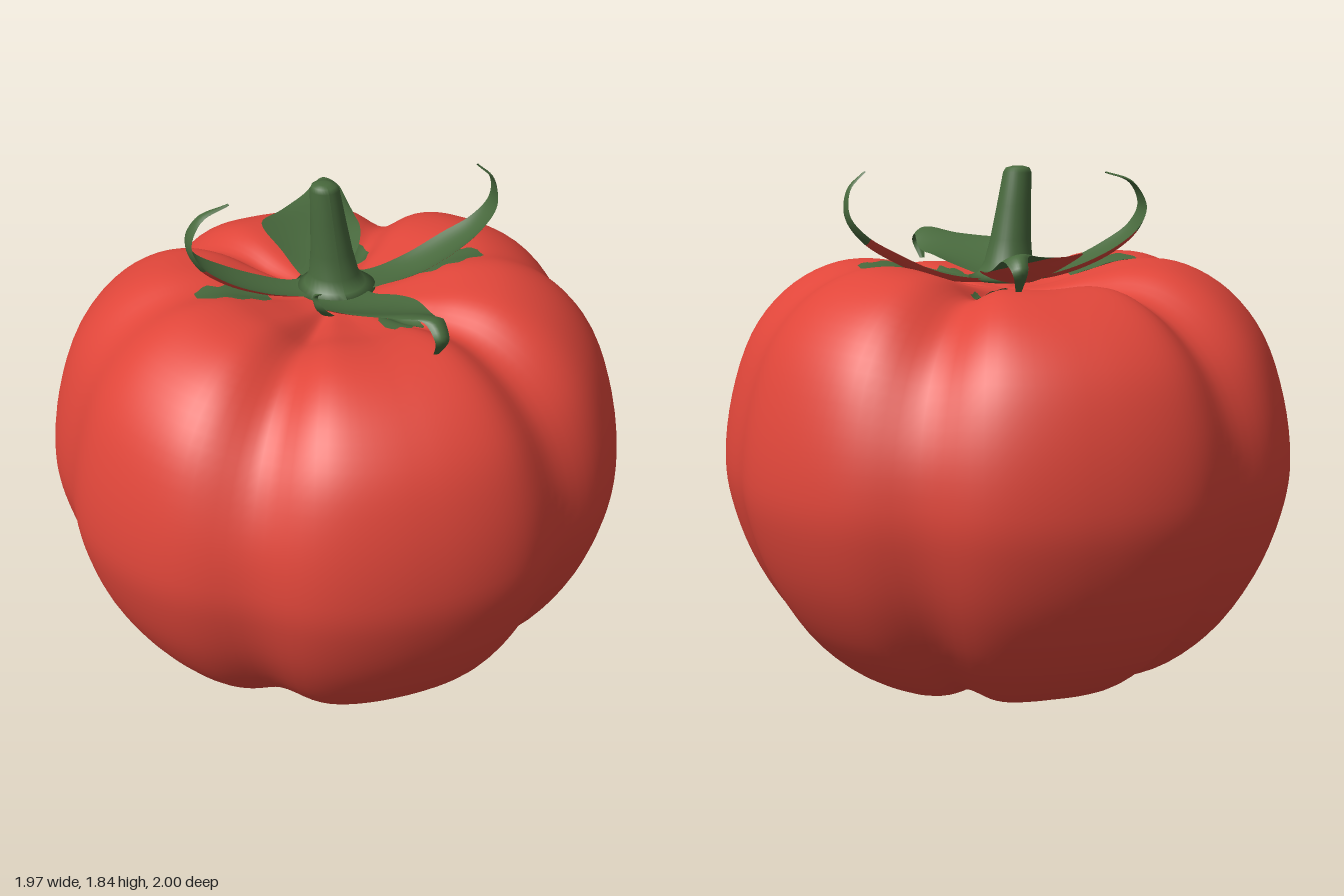
import * as THREE from 'three';
import { mergeVertices } from 'three/addons/utils/BufferGeometryUtils.js';

const V = (x, y, z) => new THREE.Vector3(x, y, z);

// Smooth surface from fn(u, v); the front faces along du x dv
function grid(fn, nu, nv) {
  const pos = [], idx = [];
  for (let i = 0; i <= nu; i++) {
    for (let j = 0; j <= nv; j++) pos.push(...fn(i / nu, j / nv).toArray());
  }
  for (let i = 0; i < nu; i++) {
    for (let j = 0; j < nv; j++) {
      const a = i * (nv + 1) + j, b = a + nv + 1;
      idx.push(a, b, b + 1, a, b + 1, a + 1);
    }
  }
  let g = new THREE.BufferGeometry();
  g.setAttribute('position', new THREE.Float32BufferAttribute(pos, 3));
  g.setIndex(idx);
  g = mergeVertices(g, 1e-5);
  g.computeVertexNormals();
  return g;
}

// Fruit: a lathe-like profile, pinched by six grooves
const profile = new THREE.CatmullRomCurve3([
  [0, 0.06], [0.15, 0.035], [0.33, 0.005], [0.55, 0.06], [0.75, 0.21], [0.9, 0.43],
  [0.98, 0.65], [1, 0.8], [0.97, 1.03], [0.89, 1.24], [0.76, 1.385], [0.6, 1.465],
  [0.45, 1.475], [0.3, 1.44], [0.15, 1.405], [0, 1.395],
].map(([r, y]) => V(r, y, 0)));
const grooves = [0, 55, 125, 180, 235, 305].map(THREE.MathUtils.degToRad);

function fruitPoint(angle, t) {
  const p = profile.getPoint(t);
  const fade = THREE.MathUtils.smoothstep(p.x, 0.02, 0.4);
  const high = THREE.MathUtils.smoothstep(p.y, 0.9, 1.45);
  let k = 1 + 0.012 * Math.abs(Math.cos(angle));
  for (const g of grooves) {
    const d = Math.atan2(Math.sin(angle - g), Math.cos(angle - g));
    const side = Math.abs(Math.sin(g)) < 0.1;
    const depth = side ? 0.04 : 0.05 + 0.04 * high;
    k -= depth * fade * Math.exp(-((d / 0.17) ** 2));
  }
  const lift = 0.028 * Math.cos(2 * angle) * high * fade;
  const r = p.x * k;
  return V(r * Math.cos(angle), 0.78 + (p.y - 0.78) * k + lift, -r * Math.sin(angle));
}

// Point on the upper side of the fruit above (x, z)
function onTop(x, z) {
  const angle = Math.atan2(-z, x), want = Math.hypot(x, z);
  let lo = 0.5, hi = 1;
  for (let i = 0; i < 24; i++) {
    const mid = (lo + hi) / 2, p = fruitPoint(angle, mid);
    if (Math.hypot(p.x, p.z) > want) lo = mid; else hi = mid;
  }
  return fruitPoint(angle, lo);
}

// Leaf surface through rows of [left, middle, right] points
function leafSurface(rows) {
  const [L, C, R] = [0, 1, 2].map((k) => new THREE.CatmullRomCurve3(rows.map((r) => V(...r[k]))));
  return (u, v) => V(0, 0, 0)
    .addScaledVector(L.getPoint(u), (1 - v) * (1 - 2 * v))
    .addScaledVector(C.getPoint(u), 4 * v * (1 - v))
    .addScaledVector(R.getPoint(u), v * (2 * v - 1));
}

function makeLeaf(name, rows, green, red, split = 0.55) {
  const top = leafSurface(rows), e = 0.004;
  // underside, thickest along the middle
  const under = (u, v) => {
    const a = Math.min(Math.max(u, e), 1 - e), b = Math.min(Math.max(v, e), 1 - e);
    const du = top(a + e, b).sub(top(a - e, b)), dv = top(a, b + e).sub(top(a, b - e));
    const n = du.cross(dv).normalize();
    return top(u, v).addScaledVector(n, -0.018 * Math.sin(Math.PI * v) * (1 - 0.7 * u));
  };
  const leaf = new THREE.Group();
  leaf.name = name;
  const add = (part, geo, mat) => {
    const m = new THREE.Mesh(geo, mat);
    m.name = part;
    leaf.add(m);
  };
  add('leafTop', grid(top, 40, 10), green);
  if (split > 0) add('leafUndersideInner', grid((u, v) => under(u * split, 1 - v), 22, 10), red);
  add('leafUndersideOuter', grid((u, v) => under(split + u * (1 - split), 1 - v), 22, 10), green);
  return leaf;
}

// Narrow leaf along x, rows of [distance, height, half width, edge lift]
const narrowRows = (s, path) => path.map(([x, y, w, e]) => [
  [s * x, y + e, s * w], [s * x, y, 0], [s * x, y + e, -s * w],
]);

export function createModel() {
  const group = new THREE.Group();
  const red = new THREE.MeshStandardMaterial({ color: 0xe0463a });
  red.name = 'tomato red';
  const green = new THREE.MeshStandardMaterial({ color: 0x48693d, side: THREE.DoubleSide });
  green.name = 'leaf green';
  const add = (name, geo, mat) => {
    const m = new THREE.Mesh(geo, mat);
    m.name = name;
    group.add(m);
  };

  add('fruit', grid((u, v) => fruitPoint(u * Math.PI * 2, v), 144, 64), red);

  // Stem flaring into the calyx, leaning slightly sideways
  const stem = new THREE.LatheGeometry([
    [0, 1.42], [0.1, 1.43], [0.14, 1.445], [0.105, 1.46], [0.085, 1.5], [0.072, 1.58],
    [0.06, 1.7], [0.05, 1.81], [0.042, 1.826], [0.02, 1.832], [0, 1.832],
  ].map(([r, y]) => new THREE.Vector2(r, y)), 32);
  const p = stem.attributes.position;
  for (let i = 0; i < p.count; i++) p.setX(i, p.getX(i) - 0.105 * Math.max(0, p.getY(i) - 1.45));
  stem.computeVertexNormals();
  add('stem', stem, green);

  // Side leaves curl upward into thin tips
  group.add(makeLeaf('leftLeaf', narrowRows(1, [
    [0.04, 1.45, 0.09, 0], [0.14, 1.445, 0.065, 0.005], [0.28, 1.465, 0.075, 0.015],
    [0.42, 1.525, 0.075, 0.02], [0.52, 1.59, 0.055, 0.015], [0.575, 1.67, 0.04, 0.005],
    [0.568, 1.76, 0.022, 0], [0.51, 1.82, 0.005, 0],
  ]), green, red));
  group.add(makeLeaf('rightLeaf', narrowRows(-1, [
    [0.04, 1.45, 0.09, 0], [0.14, 1.45, 0.065, 0.005], [0.26, 1.475, 0.075, 0.015],
    [0.39, 1.53, 0.078, 0.02], [0.48, 1.6, 0.06, 0.015], [0.512, 1.68, 0.045, 0.005],
    [0.47, 1.765, 0.025, 0], [0.37, 1.802, 0.006, 0],
  ]), green, red));

  // Broad front leaf, hooked down at the tip; the back leaf mirrors it
  const broad = [
    [[-0.08, 1.445, 0.04], [0, 1.455, 0.04], [0.08, 1.445, 0.04]],
    [[-0.1, 1.455, 0.12], [0, 1.45, 0.13], [0.1, 1.455, 0.12]],
    [[-0.125, 1.49, 0.22], [0.02, 1.465, 0.22], [0.155, 1.48, 0.2]],
    [[-0.165, 1.55, 0.33], [0.03, 1.495, 0.31], [0.19, 1.5, 0.29]],
    [[-0.07, 1.55, 0.41], [0.08, 1.53, 0.41], [0.2, 1.505, 0.39]],
    [[0.04, 1.56, 0.49], [0.13, 1.56, 0.49], [0.2, 1.52, 0.46]],
    [[0.11, 1.57, 0.56], [0.15, 1.577, 0.57], [0.19, 1.555, 0.54]],
    [[0.13, 1.525, 0.615], [0.155, 1.53, 0.622], [0.18, 1.52, 0.61]],
    [[0.14, 1.46, 0.58], [0.15, 1.46, 0.583], [0.16, 1.46, 0.58]],
  ];
  const flip = ([x, y, z]) => [x, y, -z];
  group.add(makeLeaf('frontLeaf', broad, green, red));
  group.add(makeLeaf('backLeaf', broad.map(([l, c, r]) => [flip(r), flip(c), flip(l)]), green, red));

  // Curled point on the corner of the front leaf
  group.add(makeLeaf('frontLeafPoint', [
    [[-0.15, 1.53, 0.27], [-0.14, 1.53, 0.31], [-0.12, 1.53, 0.36]],
    [[-0.172, 1.565, 0.315], [-0.168, 1.565, 0.335], [-0.16, 1.565, 0.355]],
    [[-0.18, 1.6, 0.325], [-0.178, 1.6, 0.335], [-0.174, 1.6, 0.345]],
    [[-0.17, 1.625, 0.37], [-0.17, 1.625, 0.373], [-0.17, 1.625, 0.376]],
  ], green, red, 0));

  // Green flecks lying on the fruit beneath the leaves
  const flecks = [
    [0.4, 0.02, 0.13, 0.07], [-0.37, 0.02, 0.13, 0.07],
    [0.14, 0.28, 0.07, 0.1], [0.14, -0.28, 0.07, 0.1],
  ];
  flecks.forEach(([x, z, w, d], i) => {
    add('leafFleck' + (i + 1), grid((u, v) => {
      const b = 2 * v - 1, a = (2 * u - 1) * (0.85 + 0.15 * Math.sin(9 * b + i));
      const q = onTop(x + w * b, z + d * a * Math.sqrt(1 - 0.8 * b * b));
      q.y += 0.006;
      return q;
    }, 10, 14), green);
  });
  return group;
}
